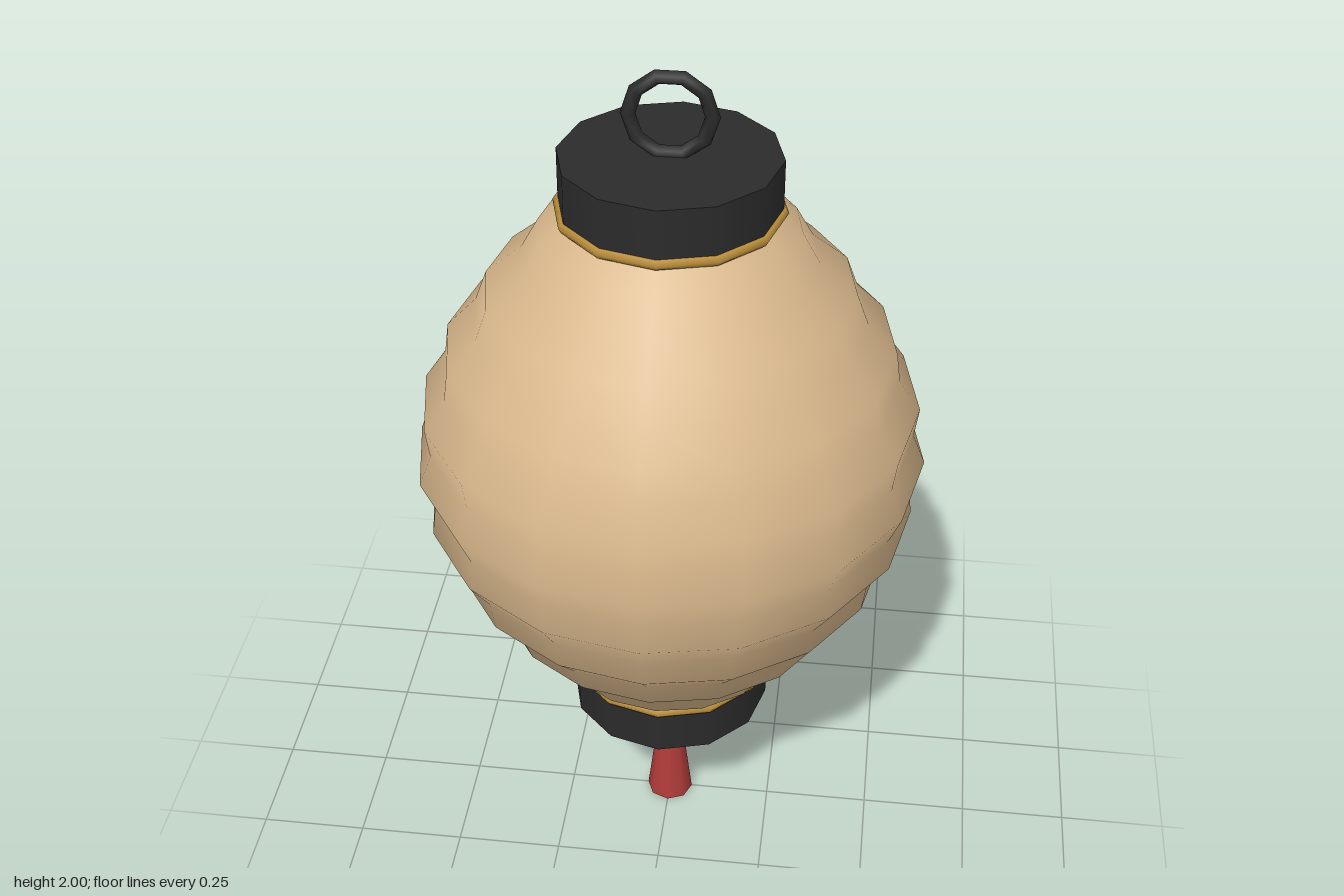
import * as THREE from 'three';

const material = (name, color) => {
  const m = new THREE.MeshStandardMaterial({ color });
  m.name = name;
  return m;
};

export function createModel() {
  const paper = material('paper', 0xd9b88c);
  const black = material('black lacquer', 0x2b2b2b);
  const gold = material('gold', 0xb88c3a);
  const red = material('red silk', 0xb03c3a);

  const lantern = new THREE.Group();
  lantern.name = 'lantern';
  const add = (name, geometry, mat, y) => {
    const mesh = new THREE.Mesh(geometry, mat);
    mesh.name = name;
    mesh.position.y = y;
    lantern.add(mesh);
    return mesh;
  };

  // Ribbed paper body: a rounded profile with alternating ridges and valleys
  const profile = [];
  for (let i = -9; i <= 9; i++) {
    const ridge = i % 2 === 0 ? 0 : -0.024;
    const radius = 0.57 * Math.cos(THREE.MathUtils.degToRad(i * 7.6)) + ridge;
    profile.push(new THREE.Vector2(radius, i * 0.0705));
  }
  add('paperBody', new THREE.LatheGeometry(profile, 16), paper, 1.085);

  // End caps with gold trim where they meet the paper
  for (const [end, capY, trimY] of [['top', 1.758, 1.695], ['bottom', 0.412, 0.475]]) {
    add(end + 'Cap', new THREE.CylinderGeometry(0.236, 0.236, 0.115, 12), black, capY);
    const trim = add(end + 'Trim', new THREE.TorusGeometry(0.235, 0.012, 6, 12), gold, trimY);
    trim.rotation.x = Math.PI / 2;
  }

  // Hanging ring
  add('hangingRing', new THREE.TorusGeometry(0.0865, 0.016, 6, 10), black, 1.9025);

  // Tassel: cord, bead and flared skirt
  add('tasselCord', new THREE.CylinderGeometry(0.019, 0.019, 0.14, 6), red, 0.3);
  const bead = add('tasselBead', new THREE.SphereGeometry(0.048, 8, 6), gold, 0.248);
  bead.scale.y = 0.88;
  add('tasselSkirt', new THREE.CylinderGeometry(0.03, 0.056, 0.22, 8), red, 0.11);

  return lantern;
}
